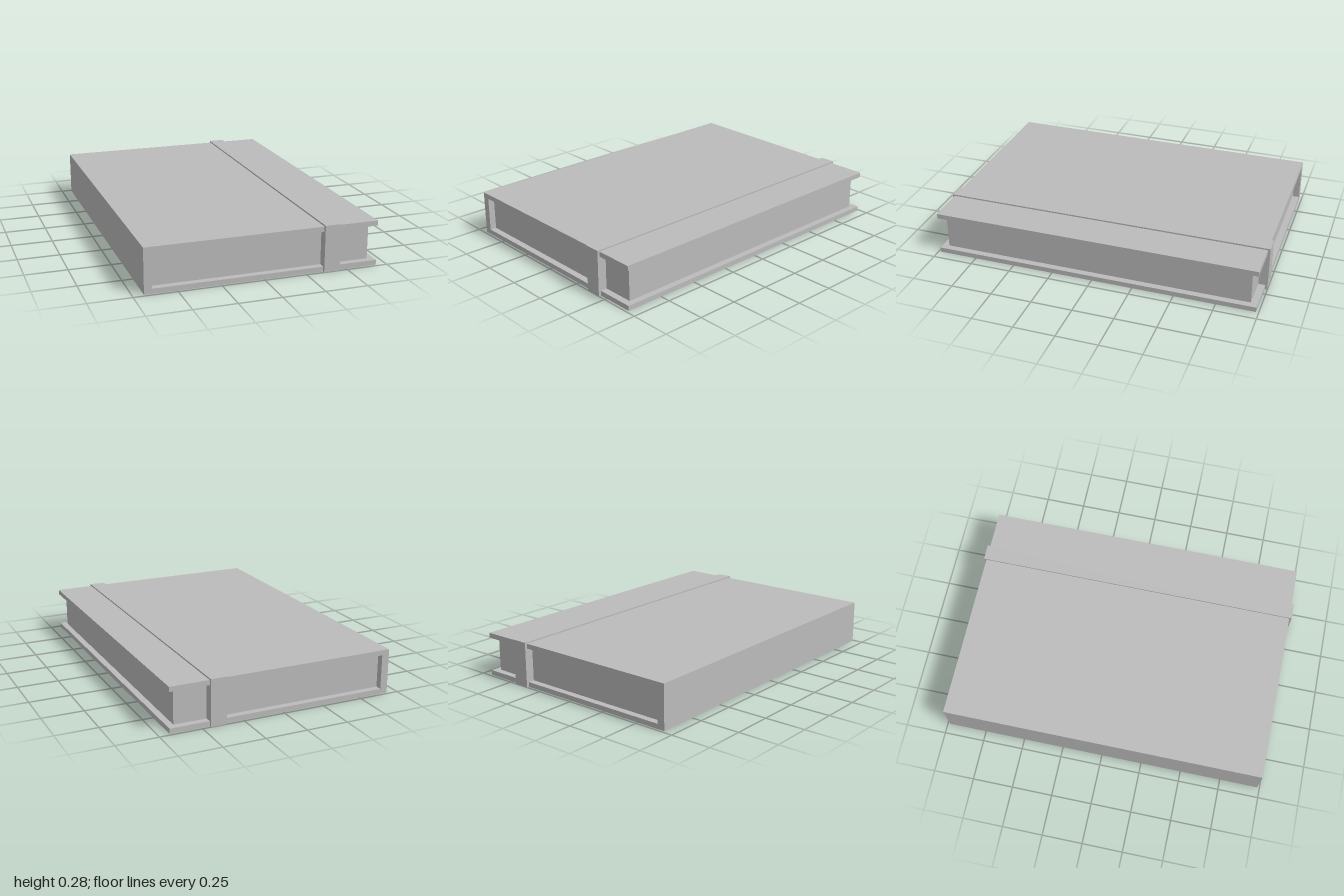
import * as THREE from 'three';

export function createModel() {
  const group = new THREE.Group();
  group.name = 'notebook';
  const grey = new THREE.MeshStandardMaterial({ color: 0xbbbbbb });
  grey.name = 'grey';

  const left = -0.687, right = 0.687, height = 0.268, board = 0.03, halfLength = 0.985;
  const spineInner = -0.642;

  const add = (name, geometry) => {
    const mesh = new THREE.Mesh(geometry, grey);
    mesh.name = name;
    group.add(mesh);
  };
  const block = (x0, x1, y0, y1, halfZ) =>
    new THREE.BoxGeometry(x1 - x0, y1 - y0, halfZ * 2)
      .translate((x0 + x1) / 2, (y0 + y1) / 2, 0);

  // Cover: two boards and the spine as one C-shaped section
  const section = new THREE.Shape([
    [left, 0], [right, 0], [right, board], [spineInner, board],
    [spineInner, height - board], [right, height - board], [right, height], [left, height],
  ].map(([x, y]) => new THREE.Vector2(x, y)));
  add('cover', new THREE.ExtrudeGeometry(section, { depth: halfLength * 2, bevelEnabled: false })
    .translate(0, 0, -halfLength));

  // Page block, set back from the cover edges
  add('pages', block(spineInner, 0.648, board, height - board, 0.945));

  // Closing strap, proud of the top and both ends
  add('strap', block(0.356, 0.452, 0, 0.277, 1));

  return group;
}
